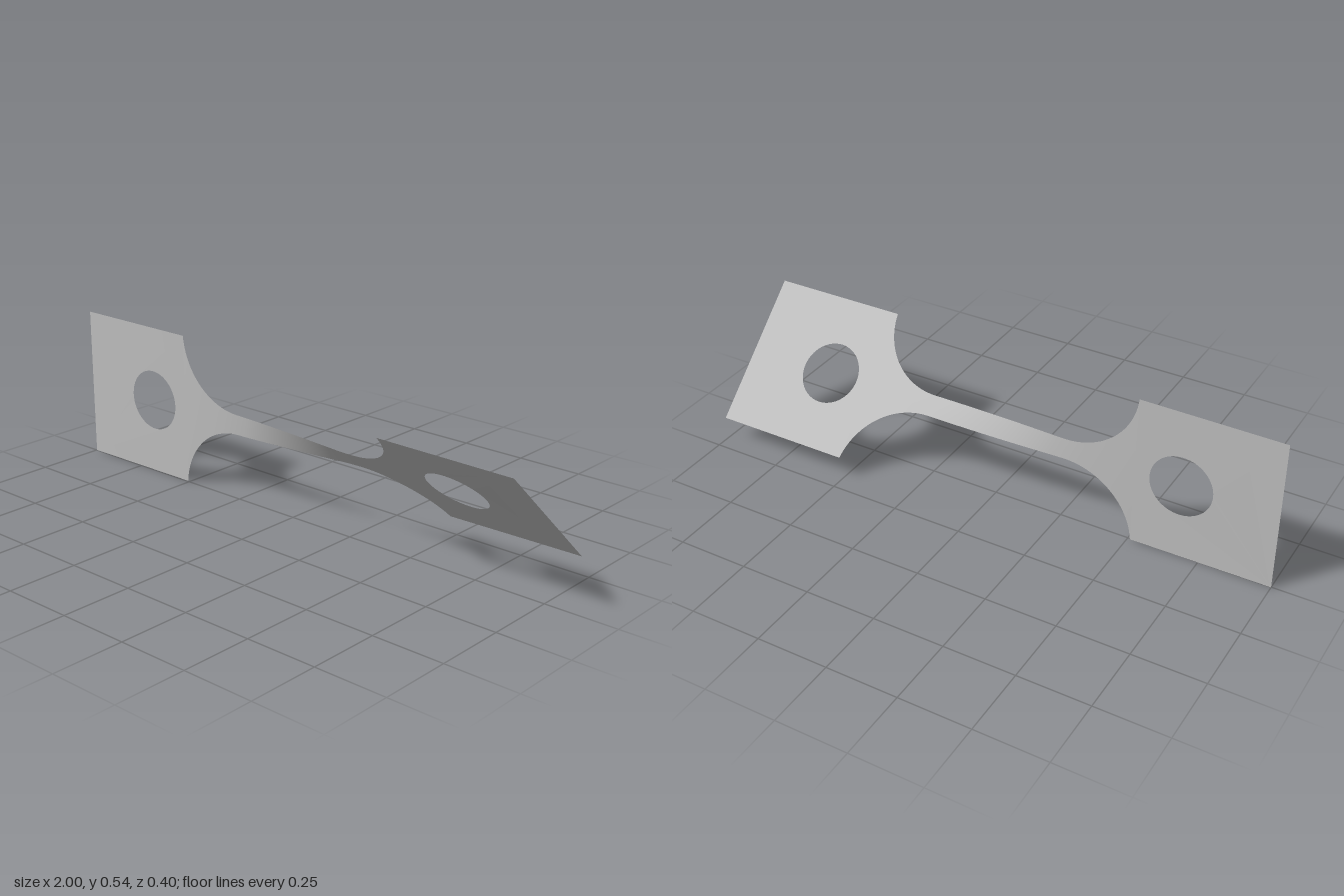
import * as THREE from 'three';

const MID = 0.272;          // height of the long axis
const HALF = 0.271;         // half width of the grips
const NECK = 0.037;         // half width of the narrow bar
const R = 0.255;            // fillet radius
const ARC = Math.acos(1 - (HALF - NECK) / R);   // swept fillet angle
const JOIN = R + R * Math.sin(ARC);             // where grip meets fillet

// twist in degrees along x
const TWIST = [[-1, 0.3], [-0.51, 0.9], [-0.33, 2.5], [-0.22, 6], [0.22, 42], [0.33, 45.3], [0.51, 46.5], [1, 47.3]];
function twistAt(x) {
  let i = 0;
  while (i < TWIST.length - 2 && x > TWIST[i + 1][0]) i++;
  const [x0, a0] = TWIST[i], [x1, a1] = TWIST[i + 1];
  return THREE.MathUtils.degToRad(a0 + (a1 - a0) * (x - x0) / (x1 - x0));
}

// rotate each flat point about the long axis and lift it to its height
function twist(geometry) {
  const p = geometry.attributes.position;
  for (let i = 0; i < p.count; i++) {
    const x = p.getX(i), v = p.getY(i), a = twistAt(x);
    p.setXYZ(i, x, MID + v * Math.cos(a), v * Math.sin(a));
  }
  geometry.computeVertexNormals();
  return geometry;
}

// square grip with a round hole; side is -1 or 1
function gripGeometry(side) {
  const a = Math.min(side, side * JOIN), b = Math.max(side, side * JOIN);
  const shape = new THREE.Shape([
    new THREE.Vector2(a, -HALF), new THREE.Vector2(b, -HALF),
    new THREE.Vector2(b, HALF), new THREE.Vector2(a, HALF),
  ]);
  const hole = new THREE.Path();
  hole.absarc(side * 0.67, 0, 0.109, 0, Math.PI * 2, true);
  shape.holes.push(hole);
  return twist(new THREE.ShapeGeometry(shape, 32));
}

// narrow bar with fillets flaring at both ends
function barGeometry() {
  const geometry = new THREE.PlaneGeometry(2, 2, 100, 8);
  const p = geometry.attributes.position;
  for (let i = 0; i < p.count; i++) {
    const t = p.getX(i), s = Math.abs(t);
    const angle = Math.max(0, (s - 0.5) / 0.5) * ARC;
    const x = s < 0.5 ? R * s / 0.5 : R + R * Math.sin(angle);
    const half = NECK + R * (1 - Math.cos(angle));
    p.setXY(i, Math.sign(t) * x, p.getY(i) * half);
  }
  return twist(geometry);
}

export function createModel() {
  const group = new THREE.Group();
  group.name = 'twistedStrip';
  const metal = new THREE.MeshStandardMaterial({ color: 0xc0c0c0, side: THREE.DoubleSide });
  metal.name = 'light grey metal';

  const add = (name, geometry) => {
    const mesh = new THREE.Mesh(geometry, metal);
    mesh.name = name;
    group.add(mesh);
  };
  add('rightGrip', gripGeometry(-1));
  add('twistedBar', barGeometry());
  add('leftGrip', gripGeometry(1));
  return group;
}
